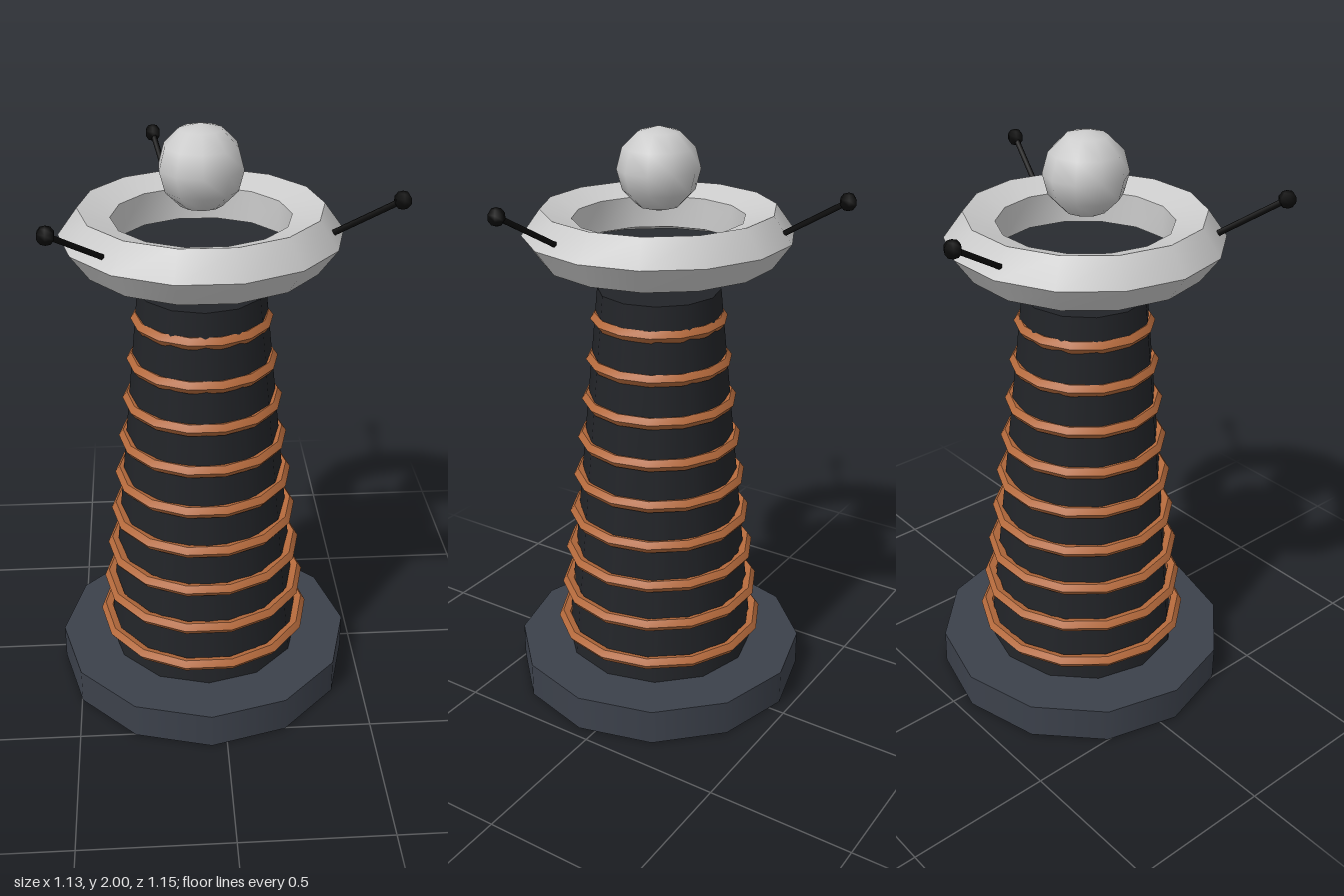
import * as THREE from 'three';
import { toCreasedNormals } from 'three/addons/utils/BufferGeometryUtils.js';

const grey = new THREE.MeshStandardMaterial({ color: 0xcccccc });
const slate = new THREE.MeshStandardMaterial({ color: 0x3c414b });
const dark = new THREE.MeshStandardMaterial({ color: 0x222428 });
const copper = new THREE.MeshStandardMaterial({ color: 0xb56a3c });
const black = new THREE.MeshStandardMaterial({ color: 0x0a0a0a });

function part(name, geometry, material, y = 0) {
  const mesh = new THREE.Mesh(geometry, material);
  mesh.name = name;
  mesh.position.y = y;
  return mesh;
}

// Horizontal ring with a five-sided section, smooth around and sharp across
function ring(radius, tube) {
  const g = new THREE.TorusGeometry(radius, tube, 5, 14);
  g.rotateX(-Math.PI / 2);
  return toCreasedNormals(g, Math.PI / 4);
}

export function createModel() {
  const model = new THREE.Group();
  model.name = 'coilTower';
  const tower = new THREE.Group();
  tower.name = 'tower';
  tower.position.set(-0.053, 0, 0.058);
  model.add(tower);

  // Base plate and tapered column
  tower.add(part('base', new THREE.CylinderGeometry(0.514, 0.514, 0.125, 12), slate, 0.0625));
  tower.add(part('column', new THREE.CylinderGeometry(0.208, 0.34, 1.34, 12), dark, 0.795));

  // Copper windings shrinking toward the top
  for (let i = 0; i < 9; i++) {
    const t = i / 8;
    const radius = THREE.MathUtils.lerp(0.351, 0.211, t);
    tower.add(part('winding', ring(radius, 0.022), copper, 0.213 + 1.152 * t));
  }

  // Floating crown ring and ball
  tower.add(part('crownRing', ring(0.359, 0.091), grey, 1.654));
  const ball = new THREE.SphereGeometry(0.137, 10, 6);
  ball.rotateY(Math.PI / 2);
  tower.add(part('ball', ball, grey, 1.863));

  // Three slanted rods tipped with knobs
  const from = new THREE.Vector3(0.39, 1.67, 0);
  const to = new THREE.Vector3(0.62, 1.805, 0);
  const dir = to.clone().sub(from);
  for (let i = 0; i < 3; i++) {
    const electrode = new THREE.Group();
    electrode.name = 'electrode';
    const rod = part('rod', new THREE.CylinderGeometry(0.01, 0.01, dir.length(), 6), black);
    rod.position.copy(from).add(to).multiplyScalar(0.5);
    rod.quaternion.setFromUnitVectors(new THREE.Vector3(0, 1, 0), dir.clone().normalize());
    const angle = THREE.MathUtils.degToRad(17 + 120 * i);
    const knob = part('knob', new THREE.SphereGeometry(0.029, 6, 5), black);
    knob.position.copy(to);
    knob.rotation.y = angle + Math.PI / 2; // keeps all knobs aligned alike
    electrode.add(rod, knob);
    electrode.rotation.y = -angle;
    tower.add(electrode);
  }
  return model;
}
